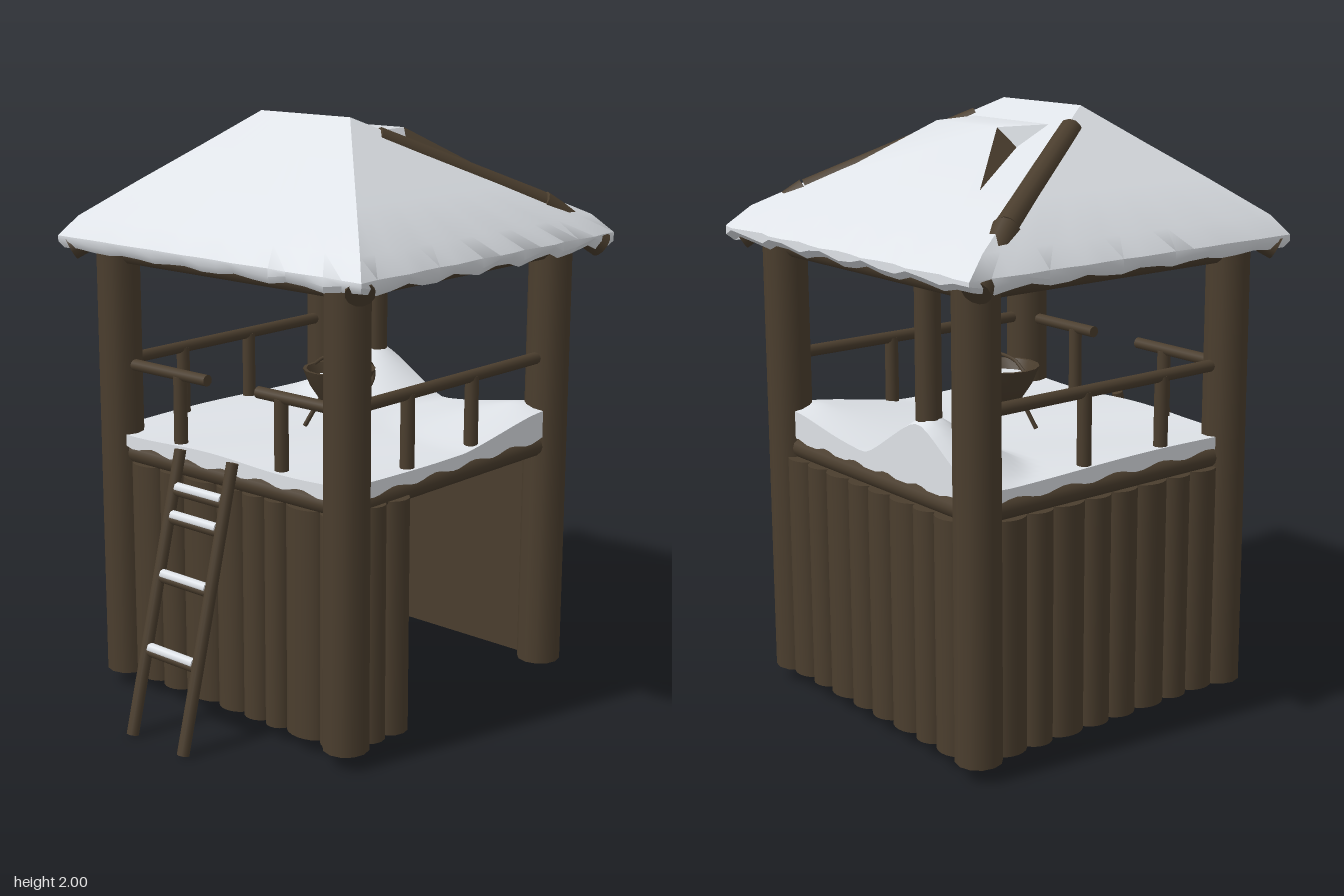
import * as THREE from 'three';
import { toCreasedNormals } from 'three/addons/utils/BufferGeometryUtils.js';

export function createModel() {
  const root = new THREE.Group();
  const wood = new THREE.MeshStandardMaterial({ color: 0x4b3e2e, side: THREE.DoubleSide });
  wood.name = 'dark wood';
  const snow = new THREE.MeshStandardMaterial({ color: 0xe2e6eb, side: THREE.DoubleSide });
  snow.name = 'snow';

  const V = (p) => new THREE.Vector3(...p);
  const add = (name, geo, mat, parent = root) => {
    const m = new THREE.Mesh(geo, mat);
    m.name = name;
    parent.add(m);
    return m;
  };
  const group = (name) => {
    const g = new THREE.Group();
    g.name = name;
    root.add(g);
    return g;
  };
  // Round log between two points
  const log = (name, a, b, r, parent = root, mat = wood, sides = 12) => {
    const A = V(a), B = V(b), d = B.clone().sub(A);
    const m = add(name, new THREE.CylinderGeometry(r * 0.97, r, d.length(), sides), mat, parent);
    m.position.copy(A).add(B).multiplyScalar(0.5);
    m.quaternion.setFromUnitVectors(new THREE.Vector3(0, 1, 0), d.normalize());
    return m;
  };
  const box = (name, size, pos, mat, parent = root) => {
    const m = add(name, new THREE.BoxGeometry(...size), mat, parent);
    m.position.set(...pos);
    return m;
  };
  const mesh = (points, index) => {
    const g = new THREE.BufferGeometry();
    g.setAttribute('position', new THREE.Float32BufferAttribute(points.flat(), 3));
    g.setIndex(index);
    return toCreasedNormals(g, 0.6);
  };

  // Corner posts and the beams joining them
  const L = -0.53, R = 0.495, F = 0.42, B = -0.625;
  for (const x of [L, R]) for (const z of [F, B]) log('cornerPost', [x, 0.05, z], [x, 1.55, z], 0.076);
  for (const [y, r, name] of [[0.85, 0.037, 'floorBeam'], [1.54, 0.042, 'eaveBeam']]) {
    for (const z of [F, B]) log(name, [L - 0.05, y, z], [R + 0.05, y, z], r);
    for (const x of [L, R]) log(name, [x, y, B - 0.06], [x, y, F + 0.06], r);
  }
  log('backPole', [-0.26, 0.85, -0.6], [-0.26, 1.55, -0.6], 0.042);

  // Walls: flat lining inside, half logs outside
  const wall = (name, length, pos, turn, edges) => {
    const g = group(name);
    box('lining', [length, 0.77, 0.01], [0, 0.435, -0.005], wood, g);
    for (let i = 0; i + 1 < edges.length; i++) {
      const r = (edges[i + 1] - edges[i]) / 2 + 0.006;
      const m = add('halfLog', new THREE.CylinderGeometry(r, r, 0.77, 10, 1, false, -Math.PI / 2, Math.PI), wood, g);
      m.position.set((edges[i] + edges[i + 1]) / 2, 0.435, 0);
      m.scale.z = 0.055 / r;
    }
    g.position.set(...pos);
    g.rotation.y = turn;
  };
  wall('frontWall', 1.0, [0, 0, 0.41], 0, [-0.47, -0.33, -0.22, -0.06, 0.06, 0.16, 0.25, 0.4, 0.5]);
  const even = (a, b, n) => Array.from({ length: n + 1 }, (_, i) => a + (b - a) * (i / n + 0.008 * Math.sin(i * 2.4) * (i % n ? 1 : 0)));
  wall('backWall', 1.0, [0, 0, -0.63], Math.PI, even(-0.46, 0.48, 8));
  wall('rightWall', 1.03, [-0.525, 0, -0.1], -Math.PI / 2, even(-0.47, 0.47, 8));
  log('sideLog', [0.5, 0.05, 0.31], [0.5, 0.84, 0.31], 0.05);
  log('sideLog', [0.5, 0.05, 0.21], [0.5, 0.84, 0.21], 0.06);

  // Floor with a snow cover that rises into drifts
  box('floor', [1.03, 0.05, 1.05], [-0.015, 0.855, -0.1], wood);
  const cover = new THREE.BoxGeometry(1.09, 0.045, 1.11, 36, 1, 36);
  cover.translate(-0.015, 0.9, -0.095);
  const p = cover.attributes.position;
  const drift = (x, z, cx, cz, r, h) => h * Math.pow(Math.max(0, 1 - Math.hypot(x - cx, z - cz) / r), 1.2);
  for (let i = 0; i < p.count; i++) {
    const x = p.getX(i), z = p.getZ(i);
    if (p.getY(i) > 0.9) {
      p.setY(i, 0.922 + 0.006 * Math.sin(9 * x + 5 * z)
        + drift(x, z, -0.27, -0.6, 0.3, 0.19) + drift(x, z, 0.42, -0.56, 0.45, 0.07));
    } else p.setY(i, 0.878 + 0.008 * Math.sin(37 * x + 31 * z));
  }
  add('floorSnow', toCreasedNormals(cover, 0.7), snow);

  // Railings
  const rail = group('railings');
  log('rail', [-0.47, 1.155, F], [-0.11, 1.155, F], 0.02, rail);
  log('rail', [0.12, 1.155, F], [0.44, 1.155, F], 0.02, rail);
  for (const x of [-0.24, 0.22]) log('baluster', [x, 0.9, F], [x, 1.15, F], 0.024, rail);
  for (const x of [L, R]) {
    log('rail', [x, 1.16, B], [x, 1.16, F], 0.021, rail);
    for (const z of [0.13, -0.2]) log('baluster', [x, 0.9, z], [x, 1.16, z], 0.024, rail);
  }

  // Ladder with snow lying on its rungs
  const ladder = group('ladder');
  for (const x of [-0.16, 0.08]) log('ladderRail', [x, 0.005, 0.74], [x, 0.93, 0.5], 0.021, ladder);
  for (const y of [0.28, 0.52, 0.71, 0.8]) {
    const z = 0.74 - 0.26 * y;
    log('rung', [-0.16, y, z], [0.08, y, z], 0.018, ladder);
    log('rungSnow', [-0.143, y + 0.012, z], [0.063, y + 0.012, z], 0.018, ladder, snow, 8);
  }

  // Cauldron on three legs
  const pot = group('cauldron');
  const profile = [[0, 1], [0.06, 1.01], [0.1, 1.07], [0.125, 1.13], [0.113, 1.13], [0.09, 1.08], [0, 1.07]];
  add('bowl', toCreasedNormals(new THREE.LatheGeometry(profile.map((q) => new THREE.Vector2(...q)), 16), 0.6), wood, pot);
  const fill = add('bowlSnow', new THREE.CircleGeometry(0.095, 16), snow, pot);
  fill.rotation.x = -Math.PI / 2;
  fill.position.y = 1.095;
  for (let i = 0; i < 3; i++) {
    const a = i * 2.094 + 0.5, c = Math.cos(a), s = Math.sin(a);
    log('leg', [0.12 * c, 0.92, 0.12 * s], [0.06 * c, 1.03, 0.06 * s], 0.008, pot, wood, 6);
  }
  const grip = [[-0.11, 1.13, 0], [-0.06, 1.16, 0], [0.07, 1.16, 0], [0.11, 1.13, 0]].map(V);
  add('handle', new THREE.TubeGeometry(new THREE.CatmullRomCurve3(grip), 16, 0.006, 6), wood, pot);
  const ring = add('sideRing', new THREE.TorusGeometry(0.05, 0.008, 6, 16), wood, pot);
  ring.rotation.y = Math.PI / 2;
  ring.position.set(0, 1.08, -0.13);
  pot.position.set(0.01, 0, -0.09);

  // Hip rafters, the back pair breaking through the snow
  for (const s of [-1, 1]) {
    log('hipRafter', [0.64 * s, 1.55, 0.53], [0.2 * s, 1.9, 0.07], 0.045);
    log('hipRafter', [0.64 * s, 1.55, -0.71], [0.53 * s, 1.7, -0.51], 0.045);
    log('hipRafter', [0.53 * s, 1.7, -0.51], [0.24 * s, 1.93, -0.01], 0.04);
  }

  // Hipped snow roof: loops from the short ridge out to a ragged eave
  const n = 18, corners = [[-0.67, 0.56], [0.67, 0.56], [0.67, -0.755], [-0.67, -0.755]];
  const rows = [[0, 2], [0.3, 1.885], [0.6, 1.772], [0.9, 1.655], [1, 1.59], [1, 1.57], [0.97, 1.548]];
  const pts = [], idx = [], count = 4 * n;
  rows.forEach(([v, y], row) => {
    for (let i = 0; i < count; i++) {
      const side = Math.floor(i / n), t = (i % n) / n;
      const a = corners[side], b = corners[(side + 1) % 4];
      const x = a[0] + (b[0] - a[0]) * t, z = a[1] + (b[1] - a[1]) * t;
      const rag = row > 3 ? 0.009 * Math.sin(i * 1.9) + 0.005 * Math.sin(i * 4.3) : 0;
      const rx = 0.195 * x / 0.67;
      const k = v + rag;
      pts.push([rx + (x - rx) * k, y + (row > 4 ? rag : 0), 0.07 + (z - 0.07) * k]);
      if (row) {
        const j = (i + 1) % count, o = row * count, q = o - count;
        idx.push(o + i, o + j, q + i, o + j, q + j, q + i);
      }
    }
  });
  add('roofSnow', mesh(pts, idx), snow);

  // Raised snow sheet on the back slope, with bare wood along its sides
  const sheet = [[-0.19, 1.947, -0.06], [0.19, 1.947, -0.06], [0.16, 1.945, -0.24], [-0.14, 1.945, -0.23],
    [0.37, 1.755, -0.54], [0.04, 1.685, -0.7], [-0.48, 1.69, -0.68], [0.21, 1.885, -0.2],
    [-0.2, 1.885, -0.2], [-0.33, 1.785, -0.45]];
  add('raisedSnow', mesh(sheet, [0, 1, 2, 0, 2, 3, 3, 2, 4, 3, 4, 5, 3, 5, 6, 1, 7, 2, 0, 3, 8]), snow);
  add('bareRoofWood', mesh(sheet, [2, 7, 4, 8, 3, 9]), wood);

  return root;
}
